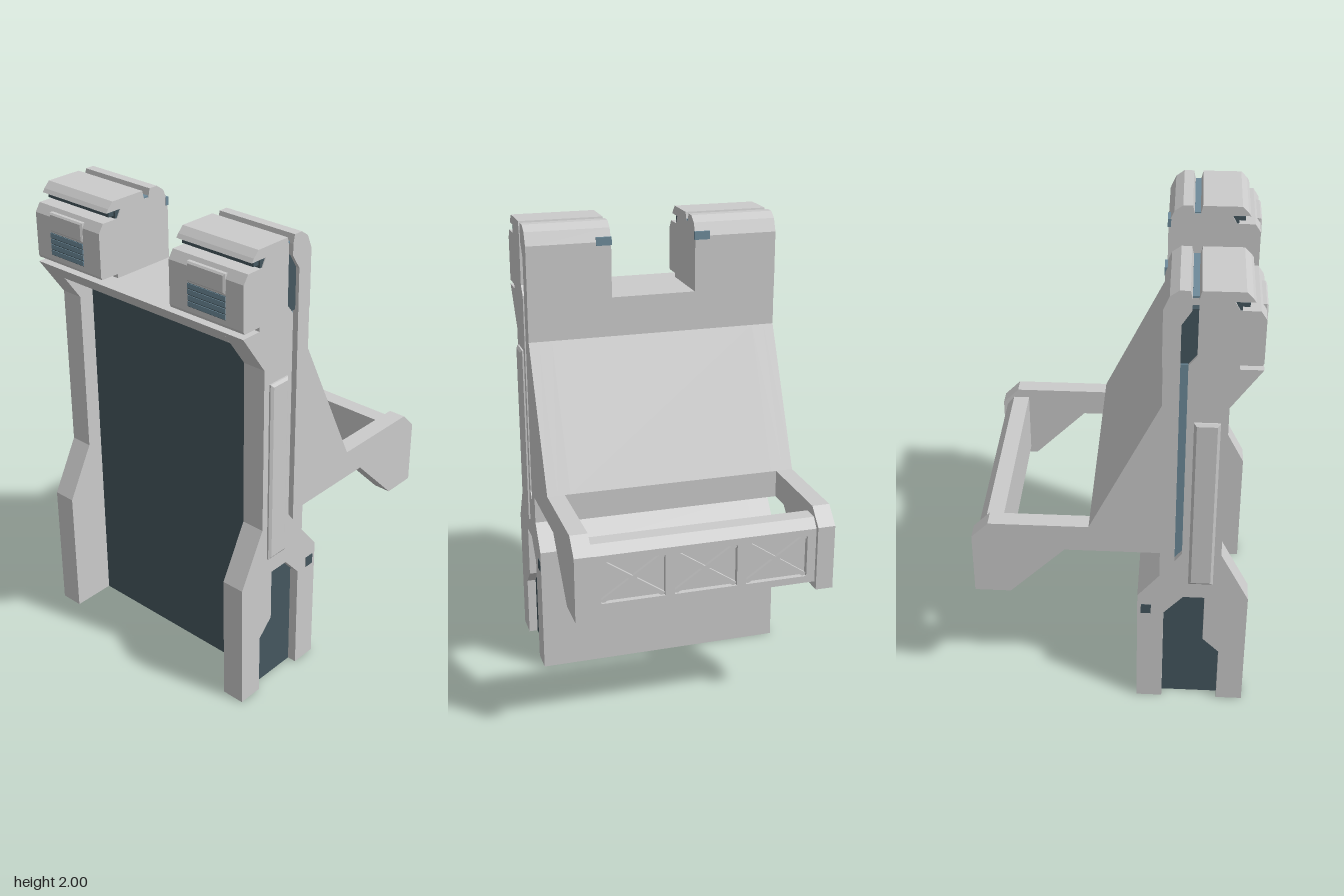
import * as THREE from 'three';

const mat = (name, color) => Object.assign(new THREE.MeshStandardMaterial({ color }), { name });

export function createModel() {
  const root = new THREE.Group();
  root.name = 'gatePillar';
  const body = mat('light grey', 0xcbcbcb);
  const dark = mat('dark slate', 0x45575f);
  const accent = mat('blue grey', 0x6e8b9b);

  const add = (name, geo, material, parent = root) => {
    const m = new THREE.Mesh(geo, material);
    m.name = name;
    parent.add(m);
    return m;
  };
  const shapeOf = pts => new THREE.Shape(pts.map(p => new THREE.Vector2(p[0], p[1])));
  // side profile of [z, y] points, extruded across from x0 to x1
  const slab = (pts, x0, x1) => new THREE.ExtrudeGeometry(shapeOf(pts), { depth: x1 - x0, bevelEnabled: false })
    .rotateY(-Math.PI / 2).translate(x1, 0, 0);
  // box given by its limits
  const box = (x0, x1, y0, y1, z0, z1) => new THREE.BoxGeometry(x1 - x0, y1 - y0, z1 - z0)
    .translate((x0 + x1) / 2, (y0 + y1) / 2, (z0 + z1) / 2);
  // mirrored copy in x, with the triangle winding put right
  const mirror = geo => {
    const g = (geo.index ? geo.toNonIndexed() : geo.clone()).scale(-1, 1, 1);
    for (const key of ['position', 'normal', 'uv']) {
      const a = g.attributes[key], n = a.itemSize;
      for (let i = 0; i < a.count; i += 3)
        for (let k = 0; k < n; k++) {
          const p = (i + 1) * n + k, q = (i + 2) * n + k;
          [a.array[p], a.array[q]] = [a.array[q], a.array[p]];
        }
    }
    return g;
  };
  const pair = (name, geo, material) => {
    add(name + 'Left', geo, material);
    add(name + 'Right', mirror(geo), material);
  };

  // main body between the columns, with the recessed front panel
  const back = [[0.195, 1.68], [0.195, 1.51], [-0.09, 0.92], [-0.09, 0.80], [0.20, 0.80], [0.20, 0.68], [0.11, 0.57], [0.11, 0]];
  const front = [[0.57, 0], [0.57, 0.57], [0.45, 0.80], [0.45, 1.51], [0.57, 1.68]];
  add('mainBody', slab([[0.375, 0], [0.375, 1.62], [0.528, 1.62], [0.57, 1.68], ...back], -0.45, 0.45), body);
  add('frontPanel', box(-0.45, 0.45, 0, 1.62, 0.375, 0.381), dark);

  // side columns: a solid inner layer and an outer skin with cut-outs
  pair('column', slab([...front, ...back], 0.45, 0.505), body);
  const footCut = [[0.22, 0], [0.22, 0.48], [0.30, 0.57], [0.39, 0.57], [0.39, 0.34], [0.46, 0.27], [0.46, 0]];
  const slot = [[0.26, 1.68], [0.26, 0.76], [0.29, 0.80], [0.29, 1.68]];
  pair('columnSkin', slab([...front, ...slot.slice().reverse(), ...back, ...footCut], 0.505, 0.55), body);
  pair('footPanel', slab(footCut, 0.505, 0.511), dark);
  pair('slotFloor', slab(slot, 0.505, 0.525), accent);
  pair('sideMarker', box(0.549, 0.552, 0.475, 0.522, 0.125, 0.167), dark);

  // raised strip on each side
  const strip = new THREE.ExtrudeGeometry(
    shapeOf([[0.33, 0.66], [0.41, 0.66], [0.41, 1.43], [0.33, 1.43]]),
    { depth: 0.008, bevelThickness: 0.008, bevelSize: 0.011, bevelSegments: 1 }
  ).rotateY(-Math.PI / 2).translate(0.557, 0, 0);
  pair('sideStrip', strip, body);

  // head blocks on top
  const headFront = [[0.48, 1.68], [0.48, 1.698], [0.563, 1.698], [0.568, 1.71], [0.568, 1.89], [0.545, 1.925],
    [0.47, 1.925], [0.45, 1.96], [0.525, 1.96], [0.515, 1.975], [0.49, 2]];
  const headBack = [[0.25, 2], [0.215, 1.975], [0.192, 1.92], [0.192, 1.68]];
  pair('head', slab([...headFront, [0.33, 2], [0.322, 1.965], [0.298, 1.965], [0.29, 2], ...headBack], 0.185, 0.505), body);
  pair('headSkinFront', slab([...headFront, [0.33, 2], [0.322, 1.965], [0.322, 1.73], [0.29, 1.69], [0.29, 1.68]], 0.505, 0.55), body);
  pair('headSkinBack', slab([[0.26, 1.68], [0.26, 1.86], [0.298, 1.92], [0.298, 1.965], [0.29, 2], ...headBack], 0.505, 0.55), body);
  pair('headSideInset', slab([[0.29, 1.69], [0.322, 1.73], [0.322, 1.92], [0.298, 1.92], [0.26, 1.86], [0.26, 1.69]], 0.505, 0.535), dark);
  pair('headTopGroove', box(0.187, 0.535, 1.964, 1.972, 0.298, 0.322), accent);
  pair('headFrontSlot', slab([[0.478, 1.926], [0.478, 1.959], [0.452, 1.959], [0.47, 1.926]], 0.188, 0.547), dark);
  pair('headSlotBar', box(0.195, 0.54, 1.937, 1.953, 0.478, 0.505), dark);
  pair('headBackInset', box(0.183, 0.25, 1.905, 1.94, 0.189, 0.203), accent);

  // vent with cap on the front of each head
  pair('ventPanel', box(0.28, 0.465, 1.73, 1.825, 0.565, 0.569), dark);
  for (let i = 0; i < 4; i++)
    pair('ventSlat' + (i + 1), box(0.28, 0.465, 1.733 + i * 0.024, 1.752 + i * 0.024, 0.566, 0.572), accent);
  const cap = new THREE.ExtrudeGeometry(
    shapeOf([[0.285, 1.838], [0.457, 1.838], [0.457, 1.903], [0.285, 1.903]]),
    { depth: 0.03, bevelThickness: 0.006, bevelSize: 0.007, bevelSegments: 1 }
  ).translate(0, 0, 0.539);
  pair('ventCap', cap, body);

  // rear arms
  pair('rearArm', slab([[-0.09, 0.92], [-0.50, 0.92], [-0.57, 0.85], [-0.57, 0.57], [-0.42, 0.57], [-0.19, 0.80], [-0.09, 0.80]], 0.475, 0.55), body);

  // cross beam with three braced cells on its back face
  const [b0, b1] = [0.6, 0.84];
  add('crossBeam', slab([[-0.45, b0], [-0.45, 0.88], [-0.52, 0.88], [-0.528, 0.87], [-0.528, b0]], -0.475, 0.475), body);
  const frame = shapeOf([[-0.475, b0], [0.475, b0], [0.475, b1], [-0.475, b1]]);
  const [w, h, cy] = [0.265, 0.18, (b0 + b1) / 2];
  const diagonal = Math.atan2(h, w);
  for (const cx of [-0.305, 0, 0.305]) {
    frame.holes.push(new THREE.Path([[-1, -1], [-1, 1], [1, 1], [1, -1]]
      .map(([sx, sy]) => new THREE.Vector2(cx + sx * w / 2, cy + sy * h / 2))));
    for (const s of [-1, 1]) {
      const brace = add('beamBrace', new THREE.BoxGeometry(Math.hypot(w, h) - 0.01, 0.018, 0.016), body);
      brace.position.set(cx, cy, -0.534);
      brace.rotation.z = s * diagonal;
    }
  }
  add('beamFrame', new THREE.ExtrudeGeometry(frame, { depth: 0.024, bevelEnabled: false }).translate(0, 0, -0.552), body);
  add('beamTopBevel', slab([[-0.528, b1], [-0.528, 0.87], [-0.552, b1]], -0.475, 0.475), body);

  return root;
}
